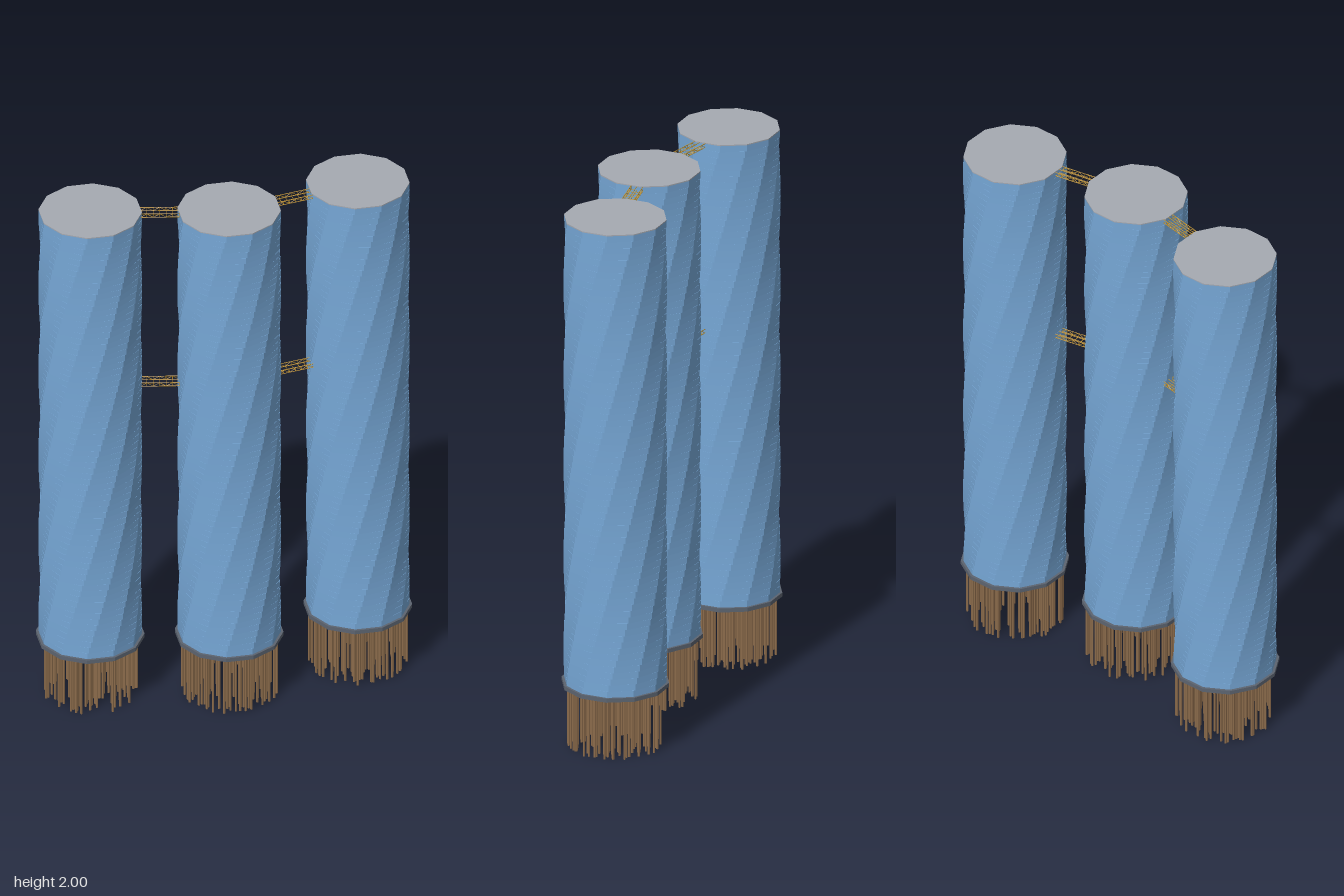
import * as THREE from 'three';
import { mergeGeometries } from 'three/addons/utils/BufferGeometryUtils.js';

const material = (name, color) => {
  const m = new THREE.MeshStandardMaterial({ color, flatShading: true });
  m.name = name;
  return m;
};

const SIDES = 12, BASE = 0.24, TOP = 2, FLOORS = 75;
const TWIST = THREE.MathUtils.degToRad(150);
const RADIUS = 0.184;

// Twelve-sided slab standing on height y
function slab(radius, y, height, turn = 0) {
  return new THREE.CylinderGeometry(radius, radius, height, SIDES)
    .rotateY(Math.PI / SIDES + turn)
    .translate(0, y + height / 2, 0);
}

// Thin rod between two points
function rod(a, b, radius) {
  const dir = b.clone().sub(a);
  const turn = new THREE.Quaternion().setFromUnitVectors(new THREE.Vector3(0, 1, 0), dir.clone().normalize());
  return new THREE.CylinderGeometry(radius, radius, dir.length(), 5)
    .applyQuaternion(turn)
    .translate((a.x + b.x) / 2, (a.y + b.y) / 2, (a.z + b.z) / 2);
}

// Small repeatable number source
function seeded(seed) {
  return () => {
    seed = (seed * 16807) % 2147483647;
    return seed / 2147483647;
  };
}

function addMesh(parent, name, geometry, mat) {
  const mesh = new THREE.Mesh(geometry, mat);
  mesh.name = name;
  parent.add(mesh);
}

export function createModel() {
  const model = new THREE.Group();
  model.name = 'twistedTowers';
  const blue = material('blueGlass', 0x76a7d6);
  const grey = material('roofGrey', 0xa6aab2);
  const dark = material('slabGrey', 0x5c6470);
  const brown = material('columnBrown', 0x8a6a4a);
  const gold = material('bridgeGold', 0xc0922e);

  const centres = [[-0.485, -0.047], [0, 0.042], [0.485, -0.047]];

  centres.forEach(([x, z], index) => {
    const tower = new THREE.Group();
    tower.name = ['rightTower', 'middleTower', 'leftTower'][index];
    tower.position.set(x, 0, z);
    model.add(tower);

    // Floors, each turned a little further than the one below
    const step = (TOP - 0.004 - BASE) / FLOORS;
    const floors = [];
    for (let i = 0; i < FLOORS; i++) {
      floors.push(slab(RADIUS, BASE + i * step, step, TWIST * i / (FLOORS - 1)));
    }
    addMesh(tower, 'twistedFloors', mergeGeometries(floors), blue);
    addMesh(tower, 'roof', slab(RADIUS, TOP - 0.004, 0.004, TWIST), grey);
    addMesh(tower, 'baseSlab', slab(0.193, 0.225, 0.015), dark);

    // Forest of thin columns scattered under the slab
    const random = seeded(71 + index * 1009);
    const columns = [];
    for (let i = 0; i < 150; i++) {
      const angle = random() * Math.PI * 2;
      const r = 0.175 * Math.sqrt(0.08 + 0.92 * random());
      columns.push(new THREE.CylinderGeometry(0.0045, 0.0045, 0.225, 6)
        .translate(Math.sin(angle) * r, 0.1125, Math.cos(angle) * r));
    }
    addMesh(tower, 'columns', mergeGeometries(columns), brown);
  });

  // Lattice bridges from the middle tower to each side tower
  const middle = new THREE.Vector3(0, 0, 0.042);
  for (const side of [-1, 1]) {
    const along = new THREE.Vector3(side * 0.485, 0, -0.089);
    const across = new THREE.Vector3(-along.z, 0, along.x).normalize().multiplyScalar(0.022);
    for (const y of [1.277, 1.983]) {
      const point = (t, s, level) => middle.clone()
        .addScaledVector(along, t)
        .addScaledVector(across, s)
        .setY(y + level * 0.014);
      const rods = [];
      const start = 0.36, end = 0.64, bays = 6;
      for (const s of [-1, 0, 1]) {
        for (const level of [0, 1]) rods.push(rod(point(start, s, level), point(end, s, level), 0.0014));
      }
      for (let i = 0; i < bays; i++) {
        const t0 = start + (end - start) * i / bays;
        const t1 = start + (end - start) * (i + 1) / bays;
        for (const s of [-1, 1]) {
          rods.push(rod(point(t0, s, i % 2), point(t1, s, 1 - i % 2), 0.001));
          rods.push(rod(point(t0, s, 0), point(t0, s, 1), 0.001));
        }
        rods.push(rod(point(t0, -1, 0), point(t0, 1, 0), 0.001));
      }
      addMesh(model, (side < 0 ? 'right' : 'left') + (y > 1.5 ? 'UpperBridge' : 'LowerBridge'), mergeGeometries(rods), gold);
    }
  }
  return model;
}
